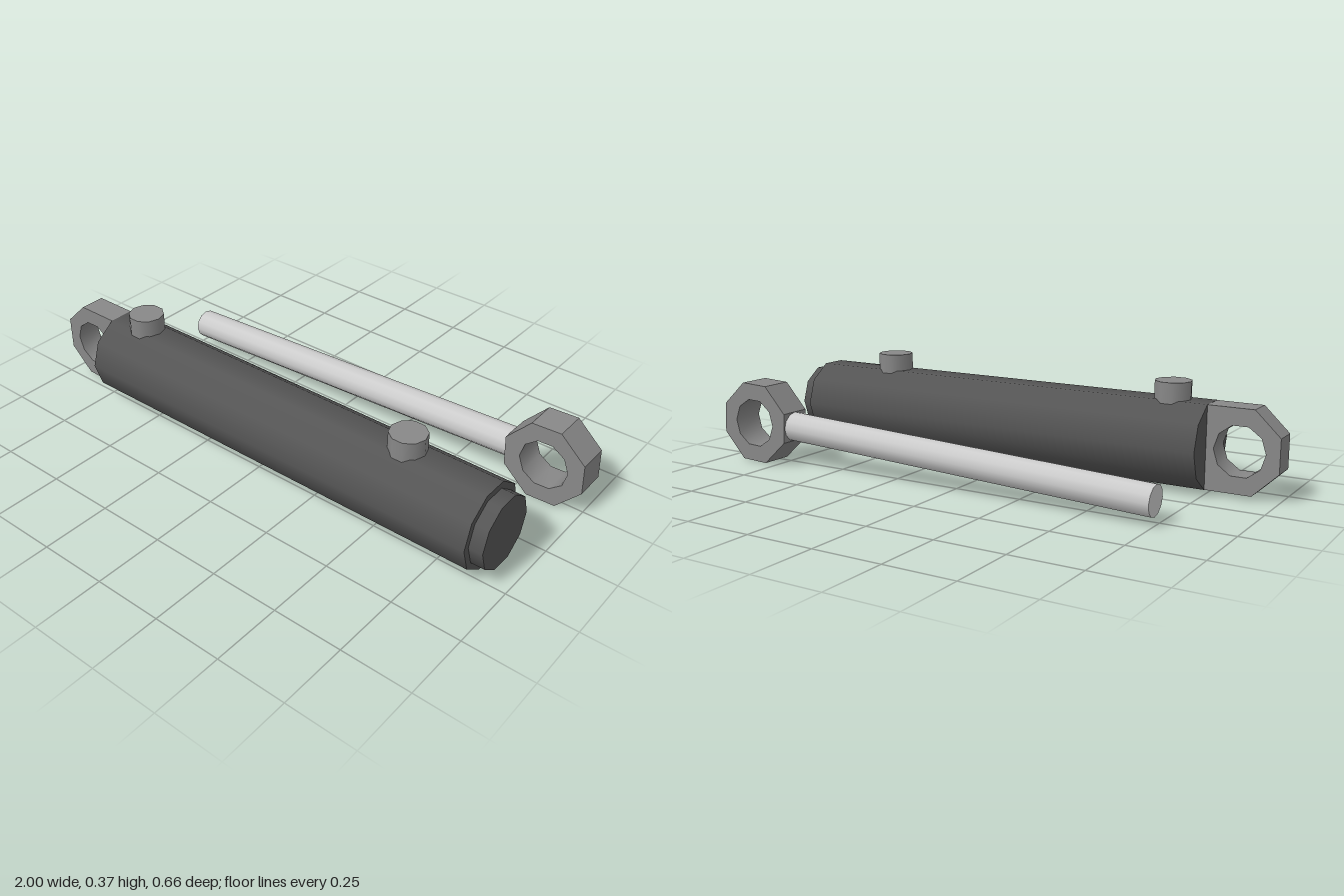
import * as THREE from 'three';
import { toCreasedNormals } from 'three/addons/utils/BufferGeometryUtils.js';

const mat = (color) => new THREE.MeshStandardMaterial({ color });

export function createModel() {
  const group = new THREE.Group();
  const dark = mat(0x555555), mid = mat(0x888888), light = mat(0xcccccc);

  const add = (parent, name, geometry, material, x, y, z) => {
    const mesh = new THREE.Mesh(geometry, material);
    mesh.name = name;
    mesh.position.set(x, y, z);
    parent.add(mesh);
  };

  // Cylinder lying along x between two ends, with a vertex facing +z
  const bar = (parent, name, radius, x0, x1, y, z, sides, material) => {
    const g = new THREE.CylinderGeometry(radius, radius, x1 - x0, sides);
    g.rotateZ(-Math.PI / 2);
    add(parent, name, g, material, (x0 + x1) / 2, y, z);
  };

  // Plate with a smooth round hole, centred on its thickness
  const eye = (parent, name, outline, depth, x, y, z) => {
    const shape = new THREE.Shape(outline.map(([px, py]) => new THREE.Vector2(px, py)));
    const hole = [];
    for (let i = 0; i < 10; i++) {
      const a = -i * Math.PI / 5;
      hole.push(new THREE.Vector2(0.09 * Math.cos(a), 0.09 * Math.sin(a)));
    }
    shape.holes.push(new THREE.Path(hole));
    const g = new THREE.ExtrudeGeometry(shape, { depth, bevelEnabled: false });
    g.translate(0, 0, -depth / 2);
    add(parent, name, toCreasedNormals(g, 0.68), mid, x, y, z);
  };

  // Barrel and its end gland
  const by = 0.165, bz = 0.177;
  bar(group, 'barrel', 0.154, -0.747, 0.887, by, bz, 10, dark);
  bar(group, 'gland', 0.13, 0.88, 0.937, by, bz, 10, dark);

  // Hose ports on top of the barrel
  for (const x of [-0.605, 0.567]) {
    const g = new THREE.CylinderGeometry(0.065, 0.065, 0.114, 10);
    g.rotateY(Math.PI / 2);
    add(group, 'port', g, mid, x, 0.317, bz);
  }

  // Barrel mounting eye: half octagon running square into the barrel
  const tang = [[0.12, -0.146], [0.12, 0.146], [-0.047, 0.146], [-0.137, 0.06], [-0.137, -0.06], [-0.047, -0.146]];
  eye(group, 'barrelEye', tang, 0.094, -0.863, by, bz);

  // Piston rod with its eye, leaning down towards the free end
  const rod = new THREE.Group();
  rod.name = 'rodAssembly';
  rod.position.set(0.852, 0.152, -0.271);
  rod.rotation.z = 2.6 * Math.PI / 180;
  group.add(rod);
  bar(rod, 'pistonRod', 0.054, -1.598, -0.13, 0, 0, 12, light);
  const w = 0.146, c = 0.0545;
  const octagon = [[w, -c], [w, c], [c, w], [-c, w], [-w, c], [-w, -c], [-c, -w], [c, -w]];
  eye(rod, 'rodEye', octagon, 0.118, 0, 0, 0);

  return group;
}
